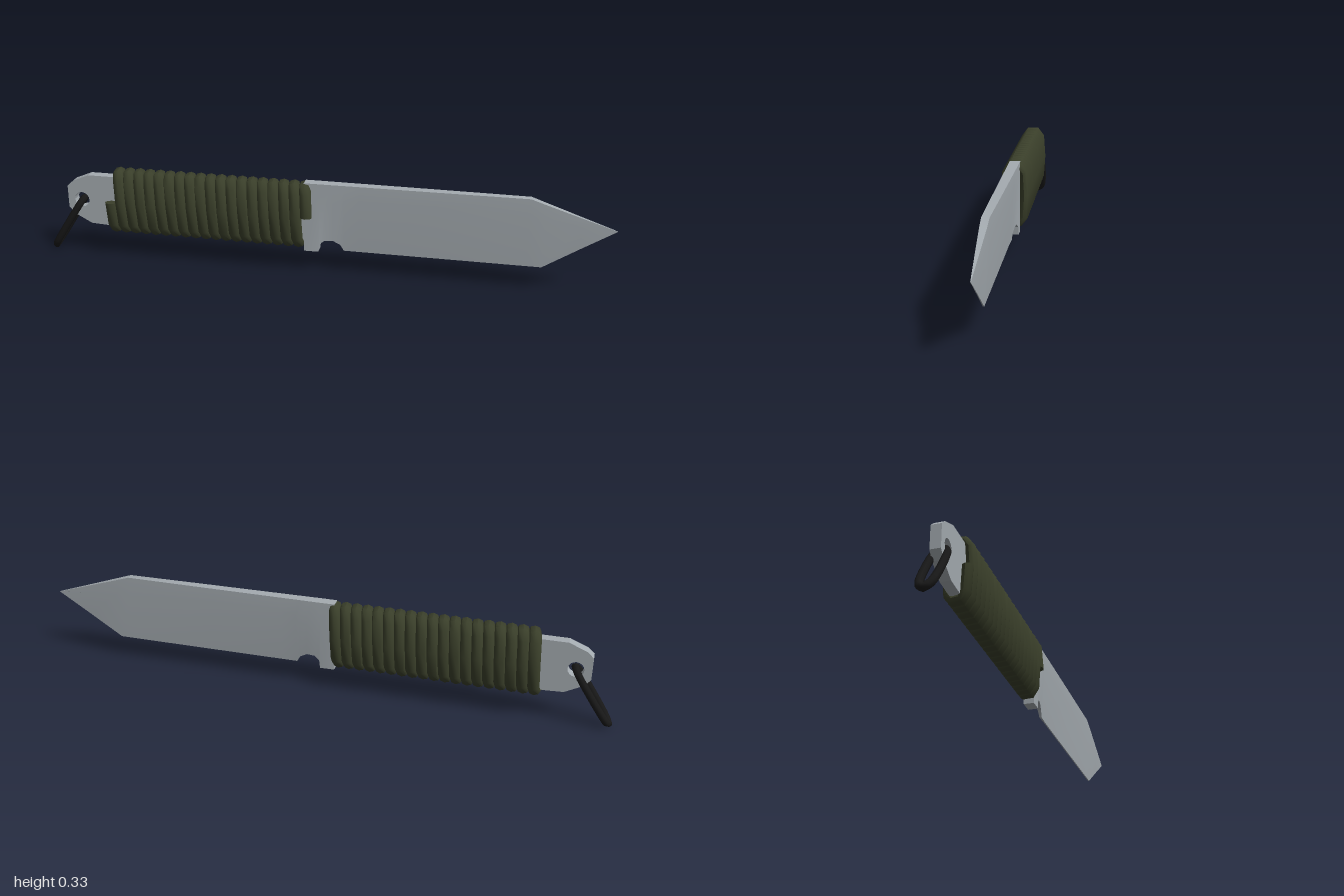
import * as THREE from 'three';
import { toCreasedNormals } from 'three/addons/utils/BufferGeometryUtils.js';

const steel = new THREE.MeshStandardMaterial({ color: 0xa4abb0 });
steel.name = 'steel';
const olive = new THREE.MeshStandardMaterial({ color: 0x3a3f2a });
olive.name = 'oliveCord';
const black = new THREE.MeshStandardMaterial({ color: 0x181818 });
black.name = 'blackCord';

// Skin a row of equal-length rings (counter-clockwise about the path) and cap both ends
function loft(rings, crease) {
  const n = rings[0].length;
  const last = (rings.length - 1) * n;
  const index = [];
  for (let i = 0; i < rings.length - 1; i++) {
    for (let j = 0; j < n; j++) {
      const a = i * n + j, b = i * n + (j + 1) % n;
      index.push(a, b, a + n, b, b + n, a + n);
    }
  }
  for (let j = 1; j < n - 1; j++) {
    index.push(0, j + 1, j, last, last + j, last + j + 1);
  }
  const geometry = new THREE.BufferGeometry();
  geometry.setAttribute('position', new THREE.Float32BufferAttribute(rings.flat(2), 3));
  geometry.setIndex(index);
  return toCreasedNormals(geometry, crease);
}

// Blade sections: x, spine y, shoulder y, edge y, spine half thickness, edge half thickness
function bladeGeometry() {
  const sections = [
    [-0.05, 0.33, 0.26, 0.08, 0.018, 0.018],
    [0.0, 0.33, 0.26, 0.08, 0.018, 0.018],
    [0.004, 0.33, 0.26, 0.108, 0.018, 0.017],
    [0.022, 0.33, 0.26, 0.122, 0.018, 0.014],
    [0.05, 0.33, 0.26, 0.122, 0.0175, 0.01],
    [0.075, 0.33, 0.265, 0.108, 0.0175, 0.006],
    [0.088, 0.33, 0.27, 0.086, 0.017, 0.004],
    [0.14, 0.33, 0.28, 0.085, 0.017, 0.002],
    [0.4, 0.33, 0.28, 0.085, 0.015, 0.002],
    [0.71, 0.33, 0.27, 0.085, 0.012, 0.002],
    [0.76, 0.313, 0.26, 0.085, 0.011, 0.002],
    [0.88, 0.273, 0.247, 0.162, 0.006, 0.0015],
    [0.995, 0.235, 0.2345, 0.234, 0.001, 0.0005],
  ];
  return loft(sections.map(([x, top, mid, low, t, e]) => [
    [x, top, -t], [x, top, t], [x, mid, t],
    [x, low, e], [x, low, -e], [x, mid, -t],
  ]), 0.5);
}

// Flat tang with a lanyard hole, running hidden under the wrap
function tangGeometry() {
  const shape = new THREE.Shape([
    [-0.05, 0.115], [-0.05, 0.3], [-0.83, 0.3], [-0.89, 0.275], [-0.912, 0.255],
    [-0.912, 0.175], [-0.89, 0.15], [-0.83, 0.118], [-0.77, 0.115],
  ].map(([x, y]) => new THREE.Vector2(x, y)));
  const hole = new THREE.Path();
  hole.absarc(-0.86, 0.207, 0.027, 0, Math.PI * 2, true);
  shape.holes.push(hole);
  const geometry = new THREE.ExtrudeGeometry(shape, { depth: 0.034, bevelEnabled: false, curveSegments: 8 });
  return geometry.translate(0, 0, -0.017);
}

// One long cord wound around the tang: y offset, z, then outward normal y, z
function wrapGeometry() {
  const turn = [
    [0, 0.033, 0, 1], [-0.08, 0.028, -0.3, 0.95], [-0.103, 0.012, -0.85, 0.5],
    [-0.103, -0.012, -0.85, -0.5], [-0.08, -0.028, -0.3, -0.95], [0, -0.033, 0, -1],
    [0.08, -0.028, 0.3, -0.95], [0.103, -0.012, 0.85, -0.5],
    [0.103, 0.012, 0.85, 0.5], [0.08, 0.028, 0.3, 0.95],
  ];
  const turns = 19, sides = 8, startX = -0.746, endX = -0.04;
  const steps = turns * turn.length;
  const rings = [];
  for (let i = 0; i <= steps; i++) {
    const [y, z, ny, nz] = turn[i % turn.length];
    const x = startX + (endX - startX) * i / steps;
    const ring = [];
    for (let j = 0; j < sides; j++) {
      const a = j / sides * Math.PI * 2;
      const out = 0.017 * Math.cos(a);
      ring.push([x - 0.021 * Math.sin(a), 0.21 + y + ny * out, z + nz * out]);
    }
    rings.push(ring);
  }
  return loft(rings, 0.9);
}

// Slim closed loop hanging at a slant through the hole
function lanyardGeometry() {
  const from = new THREE.Vector2(-0.857, 0.209);
  const to = new THREE.Vector2(-0.984, 0.013);
  const half = [[0, 0], [0.08, 0.016], [0.2, 0.022], [0.75, 0.022], [0.92, 0.015], [1, 0]];
  const back = half.slice(1, -1).reverse().map(([s, z]) => [s, -z]);
  const points = [...half, ...back].map(([s, z]) => {
    const p = from.clone().lerp(to, s);
    return new THREE.Vector3(p.x, p.y, z);
  });
  const curve = new THREE.CatmullRomCurve3(points, true);
  return new THREE.TubeGeometry(curve, 36, 0.0125, 8, true);
}

export function createModel() {
  const model = new THREE.Group();
  model.name = 'knife';
  const add = (name, geometry, material) => {
    const mesh = new THREE.Mesh(geometry, material);
    mesh.name = name;
    model.add(mesh);
  };
  add('blade', bladeGeometry(), steel);
  add('tang', tangGeometry(), steel);
  add('handleWrap', wrapGeometry(), olive);
  add('lanyardLoop', lanyardGeometry(), black);
  return model;
}
